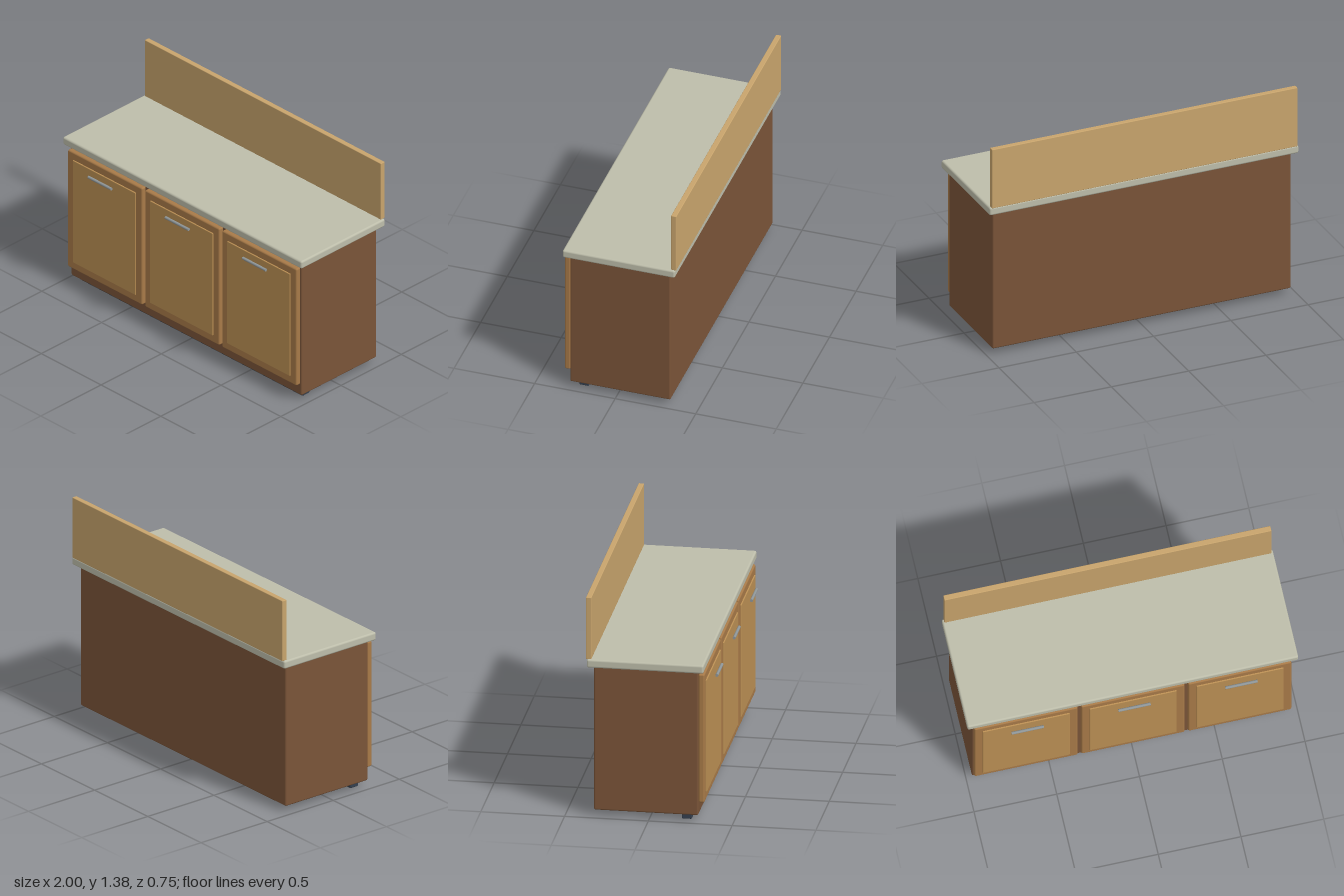
import * as THREE from 'three';
import { RoundedBoxGeometry } from 'three/addons/geometries/RoundedBoxGeometry.js';

const mat = (color) => new THREE.MeshStandardMaterial({ color });
const wood = mat(0x7a5438);
const doorWood = mat(0xa87a48);
const panelWood = mat(0xbc9054);
const splashWood = mat(0xc8a46c);
const stone = mat(0xbdbdaa);
const kickDark = mat(0x343f4e);
const metal = mat(0x8f9698);

// Softly rounded box given by its limits on each axis
function box(name, [x0, x1], [y0, y1], [z0, z1], radius, material) {
  const geometry = new RoundedBoxGeometry(x1 - x0, y1 - y0, z1 - z0, 3, radius);
  const mesh = new THREE.Mesh(geometry, material);
  mesh.name = name;
  mesh.position.set((x0 + x1) / 2, (y0 + y1) / 2, (z0 + z1) / 2);
  return mesh;
}

// Door with raised centre panel and bar handle
function createDoor(name, x) {
  const door = new THREE.Group();
  door.name = name;
  door.position.x = x;
  door.add(
    box('doorFrame', [-0.312, 0.312], [0.117, 0.922], [0.292, 0.328], 0.01, doorWood),
    box('doorPanel', [-0.263, 0.263], [0.167, 0.872], [0.315, 0.335], 0.004, panelWood),
  );
  const handle = new THREE.Mesh(new THREE.CylinderGeometry(0.009, 0.009, 0.194, 16), metal);
  handle.name = 'handle';
  handle.rotation.z = Math.PI / 2;
  handle.position.set(0, 0.842, 0.368);
  door.add(handle);
  return door;
}

export function createModel() {
  const model = new THREE.Group();
  model.name = 'kitchenCounter';

  // Carcass, recessed kick strip, worktop and splashback
  model.add(
    box('toeKick', [-0.928, 0.928], [0, 0.045], [0.188, 0.248], 0.006, kickDark),
    box('cabinetBody', [-0.965, 0.965], [0.038, 0.945], [-0.331, 0.292], 0.01, wood),
    box('worktop', [-1, 1], [0.94, 0.992], [-0.369, 0.328], 0.012, stone),
    box('splashback', [-0.988, 0.988], [0.99, 1.378], [-0.375, -0.342], 0.004, splashWood),
  );

  // Three doors in a row
  ['rightDoor', 'middleDoor', 'leftDoor'].forEach((name, i) => {
    model.add(createDoor(name, (i - 1) * 0.646));
  });
  return model;
}
